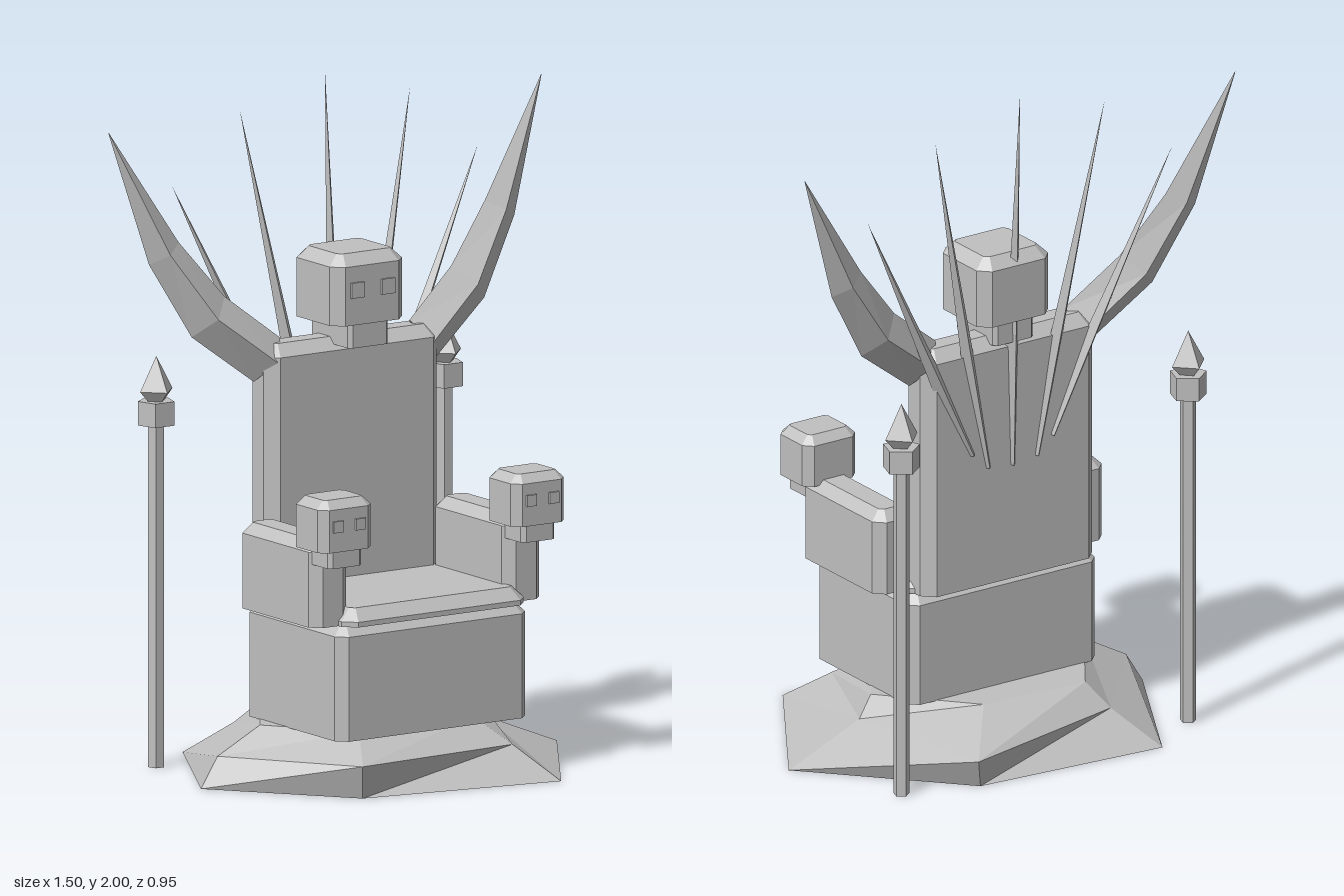
import * as THREE from 'three';

// Surface through rings of points; rings run clockwise seen from the end they travel to
function loft(rings, capStart, capEnd) {
  const n = rings[0].length, pos = [];
  const tri = (a, b, c) => pos.push(...a, ...b, ...c);
  for (let r = 0; r < rings.length - 1; r++) {
    const a = rings[r], b = rings[r + 1];
    for (let i = 0; i < n; i++) {
      const j = (i + 1) % n;
      tri(a[j], a[i], b[i]);
      tri(a[j], b[i], b[j]);
    }
  }
  const s = rings[0], e = rings[rings.length - 1];
  for (let i = 1; i < n - 1; i++) {
    if (capStart) tri(s[0], s[i], s[i + 1]);
    if (capEnd) tri(e[0], e[i + 1], e[i]);
  }
  const g = new THREE.BufferGeometry();
  g.setAttribute('position', new THREE.Float32BufferAttribute(pos, 3));
  g.computeVertexNormals();
  return g;
}

// Box with chamfered upright and top edges
function chamferBox(x0, x1, y0, y1, z0, z1, c) {
  const ring = (y, d) => {
    const a = x0 + d, b = x1 - d, f = z0 + d, g = z1 - d, k = c - d * 0.6;
    return [[a, y, g - k], [a, y, f + k], [a + k, y, f], [b - k, y, f],
      [b, y, f + k], [b, y, g - k], [b - k, y, g], [a + k, y, g]];
  };
  return loft([ring(y0, 0), ring(y1 - c, 0), ring(y1, c)], true, true);
}

export function createModel() {
  const model = new THREE.Group();
  const stone = new THREE.MeshStandardMaterial({ color: 0xc0c0c0, flatShading: true, side: THREE.DoubleSide });
  stone.name = 'grey stone';
  const add = (name, geo, parent = model) => {
    const m = new THREE.Mesh(geo, stone);
    m.name = name;
    parent.add(m);
    return m;
  };

  // Rough rock, hollow underneath
  add('rockBase', loft([
    [[-0.574, 0, -0.015], [-0.32, 0, -0.48], [0.28, 0, -0.43], [0.66, 0, -0.015], [0.34, 0, 0.475], [-0.27, 0, 0.36]],
    [[-0.52, 0.09, -0.01], [-0.23, 0.1, -0.35], [0.307, 0.09, -0.46], [0.41, 0.1, -0.01], [0.26, 0.095, 0.345], [-0.29, 0.1, 0.39]],
    [[-0.38, 0.167, 0], [-0.19, 0.167, -0.28], [0.15, 0.167, -0.26], [0.37, 0.167, -0.01], [0.195, 0.167, 0.24], [-0.2, 0.167, 0.24]],
  ], false, true));

  // Seat and backrest
  add('seatBlock', chamferBox(-0.33, 0.33, 0.165, 0.5, -0.155, 0.335, 0.03));
  add('seatSlab', chamferBox(-0.316, 0.316, 0.5, 0.55, -0.15, 0.355, 0.035));
  add('backrest', chamferBox(-0.3, 0.3, 0.5, 1.25, -0.19, -0.063, 0.035));

  // Blocky skull: cranium, jaw and raised eye plates
  function skull(name, cx, halfW, jawHalf, yJaw, y0, y1, z0, z1, c) {
    const g = new THREE.Group();
    g.name = name;
    model.add(g);
    add('cranium', chamferBox(cx - halfW, cx + halfW, y0, y1, z0, z1, c), g);
    add('jaw', chamferBox(cx - jawHalf, cx + jawHalf, yJaw, y0 + 0.02, z0 + 0.02, z1 - 0.012, 0.012), g);
    const e = halfW * 0.36;
    for (const s of [-1, 1]) {
      const eye = new THREE.BoxGeometry(e, e, 0.008);
      eye.translate(cx + s * halfW * 0.42, y0 + (y1 - y0) * 0.5, z1 + 0.003);
      add('eye', eye, g);
    }
  }
  skull('topSkull', 0, 0.125, 0.07, 1.23, 1.3, 1.505, -0.22, 0.014, 0.033);

  for (const s of [1, -1]) {
    const side = s > 0 ? 'left' : 'right';

    // Armrest with a skull at its end
    const xs = [s * 0.27, s * 0.4].sort((a, b) => a - b);
    add(side + 'Armrest', chamferBox(xs[0], xs[1], 0.5, 0.75, -0.09, 0.305, 0.03));
    skull(side + 'ArmSkull', s * 0.335, 0.092, 0.058, 0.685, 0.735, 0.885, 0.227, 0.385, 0.025);

    // Curved horn: x, y, z, radius across, radius in depth
    const path = [[0.27, 1.2, -0.125, 0.075, 0.057], [0.45, 1.34, -0.16, 0.078, 0.052],
      [0.582, 1.535, -0.192, 0.058, 0.034], [0.75, 1.9, -0.226, 0.001, 0.001]];
    const horn = path.map(([x, y, z, r, d], i) => {
      const p = path[Math.max(0, i - 1)], q = path[Math.min(3, i + 1)];
      const t = new THREE.Vector2(s * (q[0] - p[0]), q[1] - p[1]).normalize();
      return [0, 1, 2, 3].map((k) => {
        const a = k * Math.PI / 2, u = r * Math.cos(a);
        return [s * x - t.y * u, y + t.x * u, z - d * Math.sin(a)];
      });
    });
    add(side + 'Horn', loft(horn, true, true));

    // Spear standing behind the seat
    const spear = new THREE.Group();
    spear.name = side + 'Spear';
    spear.position.set(s * 0.5, 0, -0.35);
    model.add(spear);
    add('shaft', new THREE.CylinderGeometry(0.024, 0.024, 1.0, 5).rotateY(Math.PI).translate(0, 0.5, 0), spear);
    add('collar', new THREE.CylinderGeometry(0.055, 0.055, 0.07, 5).rotateY(Math.PI).translate(0, 1.035, 0), spear);
    add('pointTop', new THREE.ConeGeometry(0.056, 0.1, 4, 1, true).translate(0, 1.15, 0), spear);
    add('pointBottom', new THREE.CylinderGeometry(0.056, 0.02, 0.04, 4, 1, true).translate(0, 1.08, 0), spear);
  }

  // Fan of thin spikes rising from the back
  for (const [x0, y0, x1, y1] of [[0, 0.85, 0, 2], [0.085, 0.86, 0.295, 1.915], [-0.085, 0.86, -0.295, 1.915],
    [0.14, 0.91, 0.53, 1.72], [-0.14, 0.91, -0.53, 1.72]]) {
    const a = new THREE.Vector3(x0, y0, -0.165), b = new THREE.Vector3(x1, y1, -0.226);
    const spike = add('backSpike', new THREE.ConeGeometry(0.032, a.distanceTo(b), 4));
    spike.position.copy(a).lerp(b, 0.5);
    spike.quaternion.setFromUnitVectors(new THREE.Vector3(0, 1, 0), b.sub(a).normalize());
  }
  return model;
}
